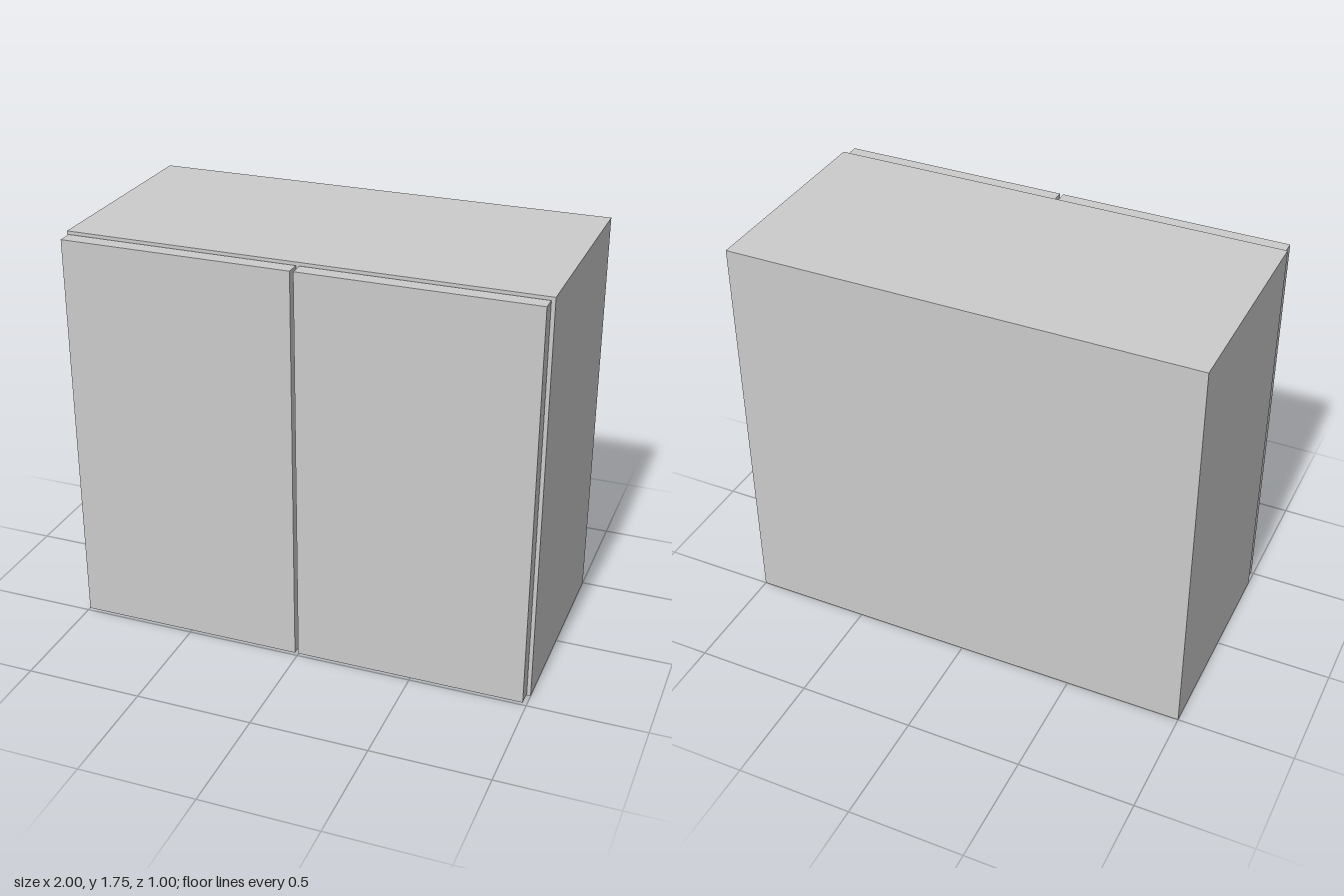
import * as THREE from 'three';

const W = 2, H = 1.75, T = 0.06;       // cabinet width, height, board thickness
const BACK = -0.5, FRONT = 0.43;       // carcass depth range
const BACK_T = 0.01;                   // thin back board

export function createModel() {
  const group = new THREE.Group();
  const material = new THREE.MeshStandardMaterial({ color: 0xcccccc });

  // Board given by its extents along each axis
  const board = (name, [x0, x1], [y0, y1], [z0, z1]) => {
    const mesh = new THREE.Mesh(new THREE.BoxGeometry(x1 - x0, y1 - y0, z1 - z0), material);
    mesh.position.set((x0 + x1) / 2, (y0 + y1) / 2, (z0 + z1) / 2);
    mesh.name = name;
    group.add(mesh);
  };

  const inner = [-W / 2 + T, W / 2 - T];
  const depth = [BACK + BACK_T, FRONT];

  // Side panels
  board('rightSide', [-W / 2, inner[0]], [0, H], [BACK, FRONT]);
  board('leftSide', [inner[1], W / 2], [0, H], [BACK, FRONT]);

  // Bottom, middle shelf and top between the sides
  board('bottom', inner, [0, T], depth);
  board('shelf', inner, [0.85, 0.91], depth);
  board('top', inner, [H - T, H], depth);

  // Back panel
  board('back', inner, [0, H], [BACK, BACK + BACK_T]);

  // Pair of doors with a narrow gap between them and behind them
  board('rightDoor', [-0.99, -0.01], [0.012, 1.738], [0.436, 0.5]);
  board('leftDoor', [0.005, 0.985], [0.012, 1.738], [0.436, 0.5]);

  return group;
}
